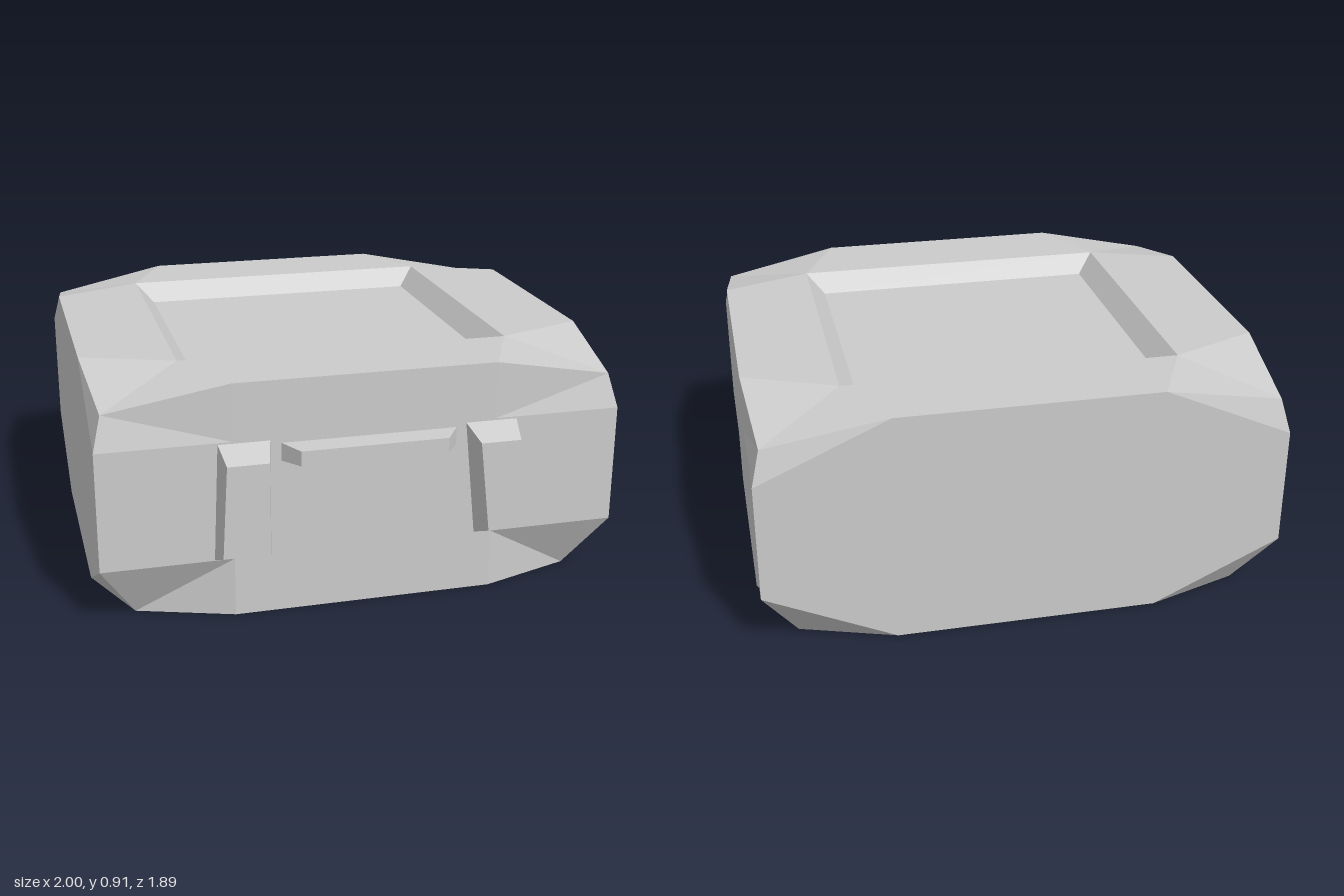
import * as THREE from 'three';

const material = () => new THREE.MeshStandardMaterial({ color: 0xcccccc, flatShading: true });

// Mesh from a list of triangle corners
function makeMesh(points, name) {
  const geometry = new THREE.BufferGeometry().setFromPoints(points);
  geometry.computeVertexNormals();
  const mesh = new THREE.Mesh(geometry, material());
  mesh.name = name;
  return mesh;
}

// Counter-clockwise quad, split along the diagonal a-c
const quad = (out, a, b, c, d) => out.push(a, b, c, a, c, d);
const vec = (x, y, z) => new THREE.Vector3(x, y, z);

// Case: a 3 x 3 x 3 grid box with its corners pulled in and a recessed lid
const GRID = [[-0.995, -0.5, 0.5, 0.995], [0, 0.23, 0.69, 0.91], [-0.938, -0.49, 0.4, 0.838]];
const isEnd = (i) => i === 0 || i === 3;

function gridPoint([i, j, k]) {
  const p = vec(GRID[0][i], GRID[1][j], GRID[2][k]);
  if (isEnd(i) && isEnd(j) && isEnd(k)) {
    const [dx, dy, dz] = j === 3 ? [0.033, 0.09, 0.033] : [0.135, 0, 0.12];
    p.x -= Math.sign(p.x) * dx;
    p.z -= Math.sign(p.z) * dz;
    p.y -= dy;
  } else if (j === 3 && !isEnd(i) && !isEnd(k)) {
    p.x = Math.sign(p.x) * 0.645;
    p.z = k === 1 ? -0.64 : 0.53;
  }
  return p;
}

function makeCase() {
  const out = [];
  for (let axis = 0; axis < 3; axis++) {
    for (const side of [0, 3]) {
      for (let u = 0; u < 3; u++) {
        for (let v = 0; v < 3; v++) {
          if (axis === 1 && side === 3 && u === 1 && v === 1) continue; // lid opening
          const at = (a, b) => {
            const index = [0, 0, 0];
            index[axis] = side;
            index[(axis + 1) % 3] = a;
            index[(axis + 2) % 3] = b;
            return gridPoint(index);
          };
          let q = [at(u, v), at(u + 1, v), at(u + 1, v + 1), at(u, v + 1)];
          if (side === 0) q.reverse();
          // Keep the diagonal running through the pulled-in corner
          if (u !== v && u !== 1 && v !== 1) q = [q[1], q[2], q[3], q[0]];
          quad(out, ...q);
        }
      }
    }
  }
  // Sloped walls and floor of the lid recess
  const ring = (x, y, z0, z1) => [vec(-x, y, z1), vec(x, y, z1), vec(x, y, z0), vec(-x, y, z0)];
  const rim = ring(0.645, 0.91, -0.64, 0.53);
  const floor = ring(0.575, 0.835, -0.575, 0.465);
  for (let i = 0; i < 4; i++) {
    const n = (i + 1) % 4;
    quad(out, rim[i], rim[n], floor[n], floor[i]);
  }
  quad(out, ...floor);
  return makeMesh(out, 'caseBody');
}

// Tapered block on the front; corners run counter-clockwise from bottom left
function makeBlock(name, base, face, depth) {
  const out = [];
  const b = base.map(([x, y]) => vec(x, y, 0.83));
  const f = face.map(([x, y]) => vec(x, y, depth));
  for (let i = 0; i < 4; i++) {
    const n = (i + 1) % 4;
    quad(out, b[i], b[n], f[n], f[i]);
  }
  quad(out, ...f);
  quad(out, b[3], b[2], b[1], b[0]);
  return makeMesh(out, name);
}

export function createModel() {
  const group = new THREE.Group();
  group.name = 'carryCase';
  group.add(
    makeCase(),
    makeBlock('rightLatch',
      [[-0.575, 0.23], [-0.36, 0.23], [-0.36, 0.687], [-0.555, 0.687]],
      [[-0.56, 0.28], [-0.385, 0.28], [-0.385, 0.635], [-0.54, 0.635]], 0.938),
    makeBlock('leftLatch',
      [[0.43, 0.23], [0.65, 0.23], [0.585, 0.687], [0.382, 0.687]],
      [[0.452, 0.28], [0.615, 0.28], [0.565, 0.635], [0.41, 0.635]], 0.938),
    makeBlock('handle',
      [[-0.325, 0.6], [0.352, 0.6], [0.352, 0.67], [-0.325, 0.67]],
      [[-0.268, 0.607], [0.288, 0.607], [0.288, 0.664], [-0.268, 0.664]], 0.925),
  );
  group.rotation.y = -0.006;
  return group;
}
